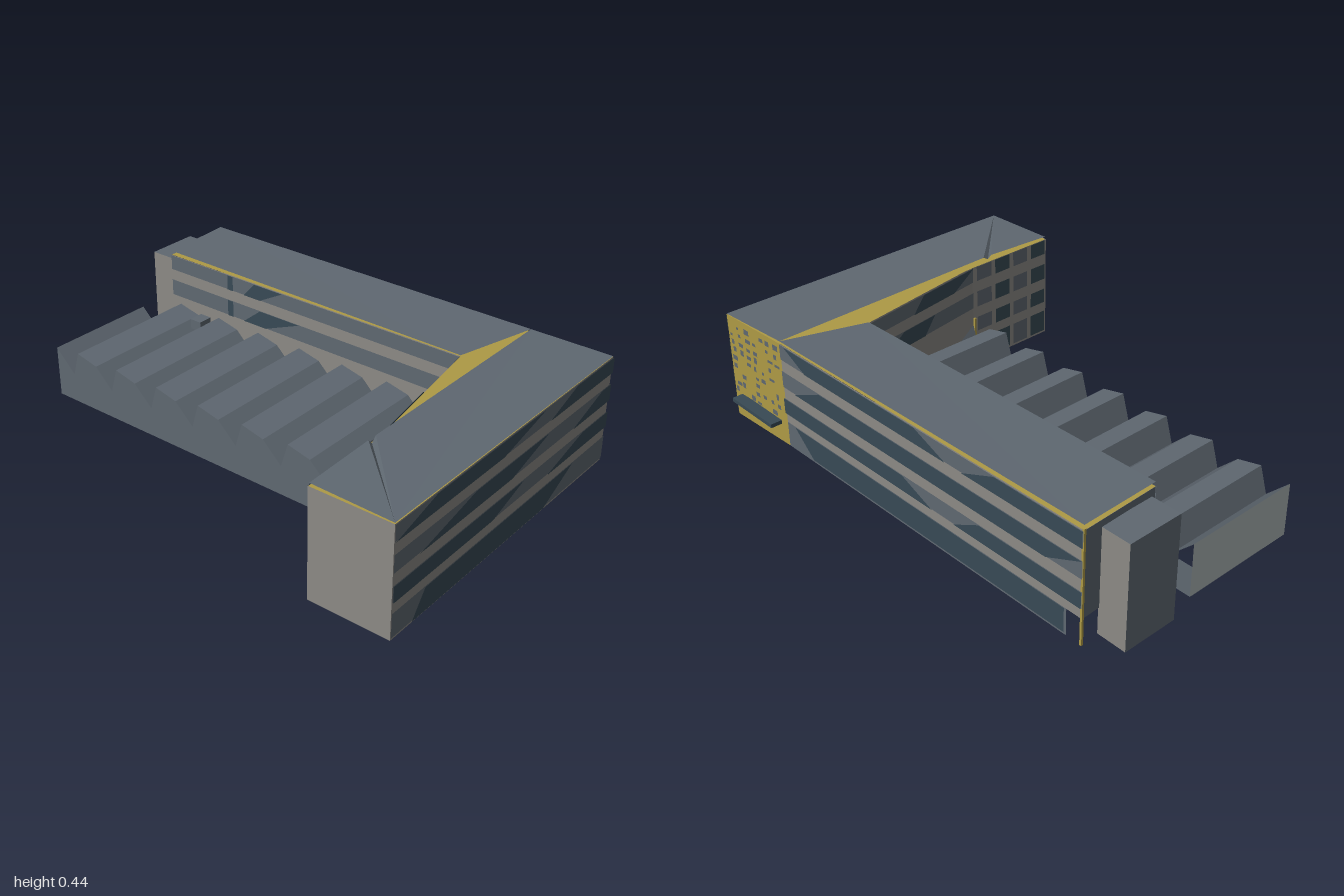
import * as THREE from 'three';

const mat = (name, color) => {
  const m = new THREE.MeshStandardMaterial({ color, side: THREE.DoubleSide, flatShading: true });
  m.name = name;
  return m;
};

export function createModel() {
  const M = {
    wall: mat('concrete grey', 0x8c8a85),
    slate: mat('slate', 0x5f6871),
    glass: mat('dark glass', 0x384a55),
    yellow: mat('ochre panel', 0xae9a45),
    pale: mat('pale panel', 0xa9b1b1),
  };
  const root = new THREE.Group();
  root.name = 'building';
  const site = new THREE.Group(); // the plan sits at an angle
  site.name = 'site';
  site.rotation.y = -0.238;
  root.add(site);

  const add = (parent, name, geo, material) => {
    const m = new THREE.Mesh(geo, material);
    m.name = name;
    parent.add(m);
    return m;
  };

  // Flat polygon drawn on a wall: points are [distance along, height]
  const plate = (parent, name, pts, material, out = 0) => {
    const shape = new THREE.Shape(pts.map(([x, y]) => new THREE.Vector2(x, y)));
    add(parent, name, new THREE.ShapeGeometry(shape), material).position.z = out;
  };
  const rect = (x0, x1, y0, y1) => [[x0, y0], [x1, y0], [x1, y1], [x0, y1]];

  // Wall from plan point a to b; its outside is local +z
  const wall = (name, a, b, y0, y1, material) => {
    const dx = b[0] - a[0], dz = b[1] - a[1];
    const g = new THREE.Group();
    g.name = name;
    g.position.set(a[0], 0, a[1]);
    g.rotation.y = Math.atan2(-dz, dx);
    site.add(g);
    const len = Math.hypot(dx, dz);
    plate(g, name + 'Panel', rect(0, len, y0, y1), material);
    g.userData.len = len;
    return g;
  };

  // Slate window bands, with dark panes given as
  // [row, bottom start, bottom end, top start, top end] in fractions of the length
  const rows = [[0.01, 0.1], [0.14, 0.2], [0.245, 0.31], [0.355, 0.414]];
  const bands = (g, first, dark) => {
    const L = g.userData.len;
    rows.slice(first).forEach(([y0, y1]) => plate(g, 'windowBand', rect(0, L, y0, y1), M.slate, 0.003));
    for (const [r, a, b, c, d] of dark) {
      const [y0, y1] = rows[r];
      plate(g, 'darkPane', [[a * L, y0], [b * L, y0], [d * L, y1], [c * L, y1]], M.glass, 0.006);
    }
  };

  // Surface fanned from its first corner; points are [x, y, z]
  const fan = (name, pts, material) => {
    const pos = [];
    for (let i = 1; i < pts.length - 1; i++) pos.push(...pts[0], ...pts[i + 1], ...pts[i]);
    const geo = new THREE.BufferGeometry();
    geo.setAttribute('position', new THREE.Float32BufferAttribute(pos, 3));
    geo.computeVertexNormals();
    return add(site, name, geo, material);
  };

  // Plan corners
  const NW = [-0.903, -0.625], NM = [0.557, -0.64], NE = [0.871, -0.654];
  const SE = [0.871, 0.622], SW = [0.563, 0.625];
  const shedCorner = [0.56, 0.235], inner = [0.468, -0.325], frontW = [-0.893, -0.325];
  const H = 0.415;

  // East wing
  bands(wall('eastFacade', SE, NE, 0, H, M.wall), 0, [
    [0, 0.08, 0.68, 0.13, 0.82],
    [1, 0, 0.42, 0, 0.56], [1, 0.68, 1, 0.86, 1],
    [2, 0.1, 0.5, 0.33, 0.67], [2, 0.8, 1, 0.95, 1],
    [3, 0, 0.45, 0.16, 0.64], [3, 0.67, 1, 0.8, 1],
  ]);
  wall('southEnd', SW, SE, 0, H, M.wall);
  const court = wall('courtyardWall', shedCorner, SW, 0, H, M.wall);
  for (let i = 0; i < 4; i++)
    for (const [y0, y1] of rows)
      plate(court, 'courtyardWindow', rect(0.02 + i * 0.095, 0.095 + i * 0.095, y0, y1), i % 2 ? M.glass : M.slate, 0.003);
  bands(wall('slantedWall', inner, shedCorner, 0, H, M.wall), 2, [[2, 0.1, 0.5, 0.3, 0.6], [3, 0.4, 0.8, 0.5, 1]]);

  // Perforated entrance panel with canopy
  const entrance = wall('entrancePanel', NE, NM, 0, H, M.yellow);
  let seed = 7;
  const rnd = () => (seed = (seed * 16807) % 2147483647) / 2147483647;
  for (let r = 0; r < 9; r++)
    for (let c = 0; c < 7; c++) {
      const x = 0.012 + c * 0.042 + rnd() * 0.012, y = 0.1 + r * 0.034 + rnd() * 0.008;
      if (rnd() < 0.75)
        plate(entrance, 'opening', rect(x, x + 0.012 + rnd() * 0.018, y, y + 0.01 + rnd() * 0.014), M.slate, 0.003);
    }
  add(site, 'canopy', new THREE.BoxGeometry(0.25, 0.015, 0.045), M.glass).position.set(0.707, 0.092, -0.672);

  // Long wing
  bands(wall('backFacade', NM, NW, 0.1, H, M.wall), 1, [
    [1, 0, 0.55, 0, 0.45], [1, 0.62, 1, 0.7, 1],
    [2, 0.05, 0.9, 0.15, 1],
    [3, 0.1, 0.6, 0.02, 0.5], [3, 0.65, 1, 0.75, 1],
  ]);
  const base = wall('backBase', NM, [-0.84, -0.6256], 0, 0.1, M.slate);
  plate(base, 'darkPane', [[0.15, 0.01], [1.39, 0.01], [1.39, 0.1], [0.05, 0.1]], M.glass, 0.003);
  bands(wall('frontFacade', frontW, inner, 0, H, M.wall), 2, [
    [2, 0.22, 0.24, 0.22, 0.24], [2, 0.28, 0.36, 0.34, 0.48],
    [3, 0.22, 0.24, 0.22, 0.24], [3, 0.28, 0.34, 0.32, 0.42],
  ]);
  wall('westEnd', NW, frontW, 0.1, H, M.slate);
  const annex = add(site, 'stairBlock', new THREE.BoxGeometry(0.113, 0.39, 0.21),
    [M.wall, M.slate, M.slate, M.slate, M.wall, M.wall]);
  annex.position.set(-0.953, 0.195, -0.447);

  // Yellow posts at the corners
  for (const [x, z, h] of [[-0.9, -0.622, 0.42], [0.556, 0.24, 0.2]])
    add(site, 'cornerPost', new THREE.BoxGeometry(0.008, h, 0.008), M.yellow).position.set(x, h / 2, z);

  // Ochre roof edge below the slightly warped slate roofs
  const at = (p, y) => [p[0], y, p[1]];
  fan('roofEdgeLong', [NW, NM, inner, frontW].map((p) => at(p, 0.416)), M.yellow);
  fan('roofEdgeEast', [NM, NE, SE, SW].map((p) => at(p, 0.413)), M.yellow);
  fan('ochreRoofWedge', [at(NM, 0.418), at(shedCorner, 0.418), at(inner, 0.418)], M.yellow);
  fan('longRoof', [at(NW, 0.435), at(NM, 0.425), at(inner, 0.42), at(frontW, 0.432)], M.slate);
  fan('eastRoof', [at(SE, 0.42), [0.566, 0.425, 0.622], [0.568, 0.435, 0.338], [0.572, 0.42, 0.325],
    [0.568, 0.435, 0.3], at(NM, 0.425), at(NE, 0.417)], M.slate);

  // Sawtooth shed: roof profile along x
  const zF = 0.235, zB = -0.325;
  const profile = [[-0.972, 0.2], [-0.885, 0.115]];
  for (let i = 0; i < 7; i++) {
    const x = -0.885 + i * 0.204;
    profile.push([x + 0.03, 0.212], [x + 0.125, 0.19], [x + 0.204, 0.115]);
  }
  profile.push([0.56, 0.17]);
  for (let i = 0; i < profile.length - 1; i++) {
    const [x0, y0] = profile[i], [x1, y1] = profile[i + 1];
    const back = i === 0 ? -0.227 : zB;
    fan('sawtoothRoof', [[x0, y0, back], [x1, y1, back], [x1, y1, zF], [x0, y0, zF]], M.slate);
  }
  const front = new THREE.Group();
  front.name = 'shedFront';
  front.position.z = zF;
  site.add(front);
  plate(front, 'shedFrontWall', [[-0.972, 0], [0.56, 0], ...profile.slice().reverse()], M.slate);
  wall('shedEnd', [-0.972, -0.227], [-0.972, zF], 0, 0.2, M.pale);
  wall('shedBackReturn', [-0.885, -0.227], [-0.972, -0.227], 0, 0.115, M.slate);
  wall('shedSideReturn', [-0.885, zB], [-0.885, -0.227], 0, 0.115, M.slate);
  add(site, 'roofVent', new THREE.BoxGeometry(0.05, 0.04, 0.06), M.slate).position.set(-0.706, 0.19, -0.28);

  return root;
}
